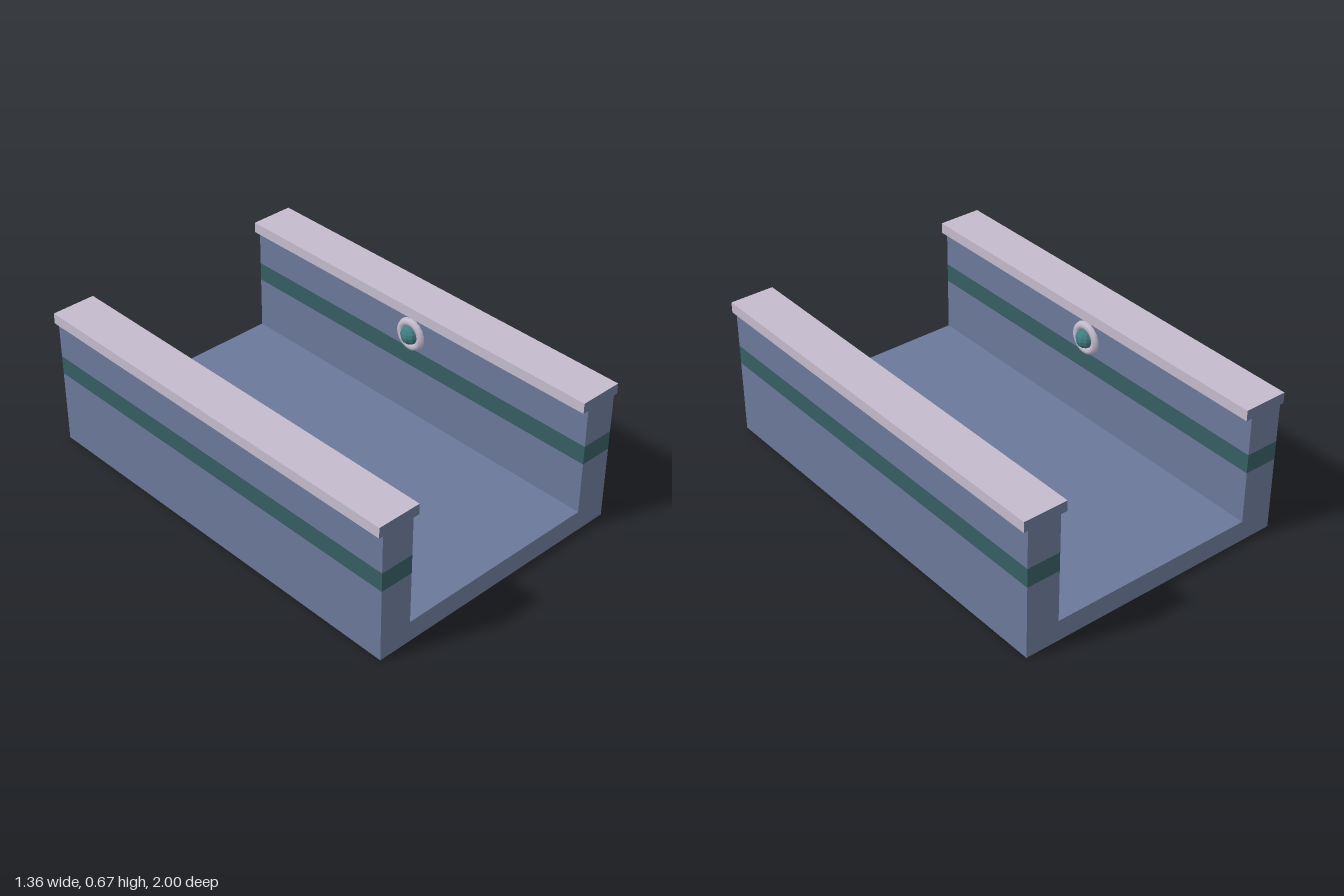
import * as THREE from 'three';

export function createModel() {
  const mat = (name, color, extra = {}) => new THREE.MeshStandardMaterial({ name, color, ...extra });
  const stone = mat('slate blue', 0x6b7899);
  const pale = mat('pale lilac', 0xc4bbcc);
  const band = mat('dark teal', 0x365d62);
  const gem = mat('gem teal', 0x3f7c80, { flatShading: true });
  const model = new THREE.Group();
  model.name = 'channel';
  const length = 2;

  const add = (name, geometry, material, parent = model) => {
    const mesh = new THREE.Mesh(geometry, material);
    mesh.name = name;
    parent.add(mesh);
    return mesh;
  };
  // Box given by its x and y ranges, running the full length
  const beam = (name, x0, x1, y0, y1, material) =>
    add(name, new THREE.BoxGeometry(Math.abs(x1 - x0), y1 - y0, length), material)
      .position.set((x0 + x1) / 2, (y0 + y1) / 2, 0);

  // U-shaped floor and lower walls
  const profile = new THREE.Shape([
    [-0.66, 0], [0.66, 0], [0.66, 0.35], [0.5, 0.35],
    [0.5, 0.1], [-0.5, 0.1], [-0.5, 0.35], [-0.66, 0.35],
  ].map(([x, y]) => new THREE.Vector2(x, y)));
  const trough = new THREE.ExtrudeGeometry(profile, { depth: length, bevelEnabled: false });
  trough.translate(0, 0, -length / 2);
  add('floorAndLowerWalls', trough, stone);

  for (const [side, s] of [['left', 1], ['right', -1]]) {
    beam(side + 'Stripe', s * 0.5, s * 0.66, 0.35, 0.44, band);
    beam(side + 'UpperWall', s * 0.5, s * 0.66, 0.44, 0.62, stone);
    // Coping: pale top and sides, wall-coloured underside and ends
    beam(side + 'Coping', s * 0.47, s * 0.68, 0.62, 0.67, [pale, pale, pale, stone, stone, stone]);

    // Round lamp on the inner wall face
    const lamp = new THREE.Group();
    lamp.name = side + 'Lamp';
    lamp.position.set(s * 0.5, 0.515, 0);
    lamp.rotation.y = -s * Math.PI / 2;
    add('lampRing', new THREE.TorusGeometry(0.06, 0.02, 8, 20), pale, lamp);
    add('lampGem', new THREE.SphereGeometry(0.046, 10, 8), gem, lamp).position.z = 0.005;
    model.add(lamp);
  }
  return model;
}
